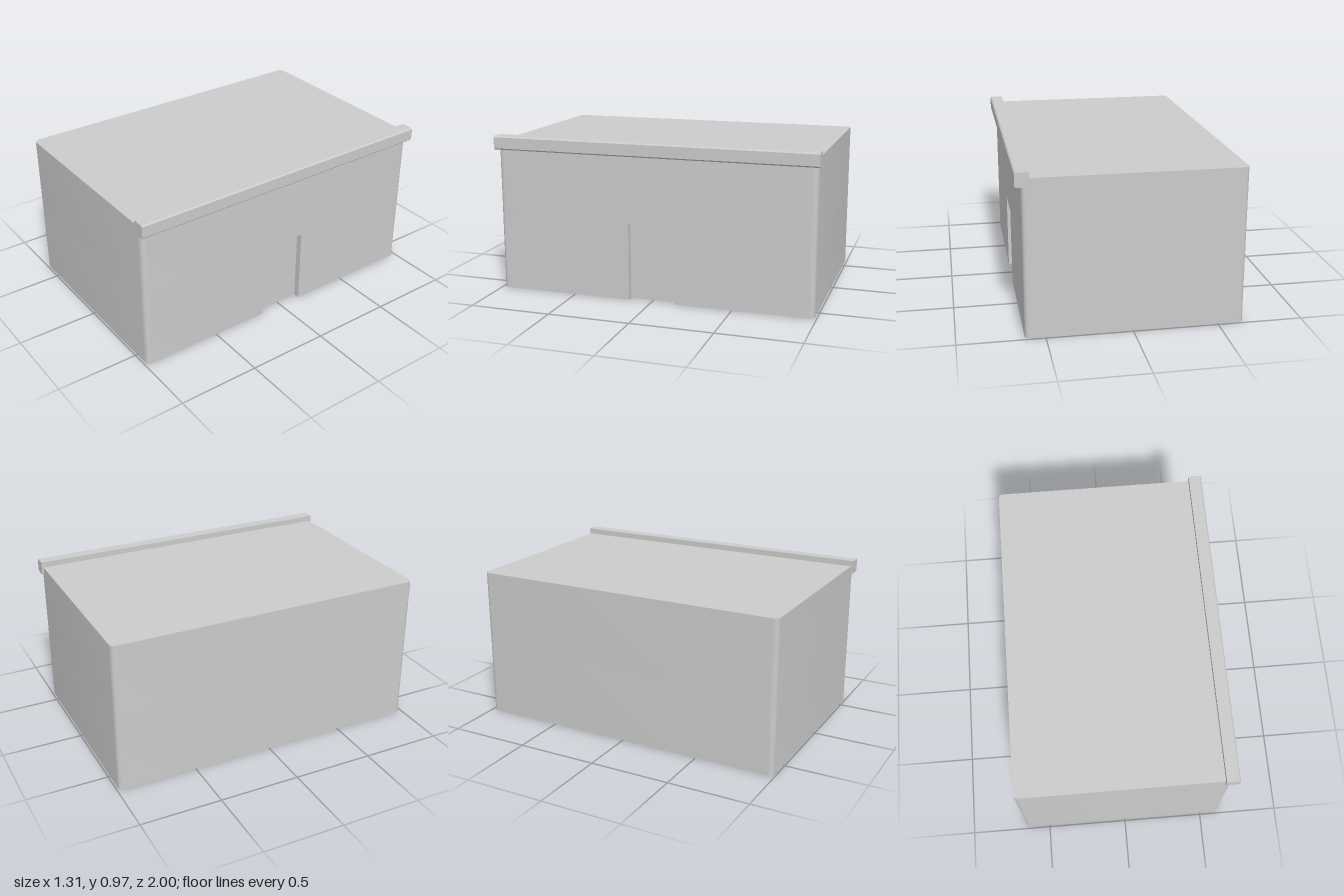
import * as THREE from 'three';
import { toCreasedNormals } from 'three/addons/utils/BufferGeometryUtils.js';

const X0 = -0.653, X1 = 0.617, HALF = 0.988, R = 0.03; // plan of the building
const HEIGHT = 0.935;
const DOOR = { half: 0.144, height: 0.475, depth: 0.038 };
const material = new THREE.MeshStandardMaterial({ color: 0xcccccc });

// Rounded rectangular plan, optionally notched for the doorway on the +x side
function plan(notched) {
  const s = new THREE.Shape();
  s.moveTo(X0 + R, -HALF);
  s.lineTo(X1 - R, -HALF);
  s.absarc(X1 - R, -HALF + R, R, -Math.PI / 2, 0);
  if (notched) {
    s.lineTo(X1, -DOOR.half);
    s.lineTo(X1 - DOOR.depth, -DOOR.half);
    s.lineTo(X1 - DOOR.depth, DOOR.half);
    s.lineTo(X1, DOOR.half);
  }
  s.absarc(X1 - R, HALF - R, R, 0, Math.PI / 2);
  s.absarc(X0 + R, HALF - R, R, Math.PI / 2, Math.PI);
  s.absarc(X0 + R, -HALF + R, R, Math.PI, Math.PI * 1.5);
  s.closePath();
  return s;
}

function extrude(shape, depth) {
  return new THREE.ExtrudeGeometry(shape, { depth, bevelEnabled: false, curveSegments: 6 });
}

function addMesh(group, name, geometry) {
  const mesh = new THREE.Mesh(toCreasedNormals(geometry, 0.5), material);
  mesh.name = name;
  group.add(mesh);
}

export function createModel() {
  const group = new THREE.Group();
  group.name = 'building';

  // Walls up to the door head, with the recessed doorway
  addMesh(group, 'lowerWalls', extrude(plan(true), DOOR.height).rotateX(-Math.PI / 2));

  // Walls above the door head, closed by the flat roof
  addMesh(group, 'upperWallsAndRoof',
    extrude(plan(false), HEIGHT - DOOR.height).rotateX(-Math.PI / 2).translate(0, DOOR.height, 0));

  // Cornice along the door side, with chamfered outer edges
  const [a, b, y0, y1, c] = [0.572, 0.653, 0.887, 0.971, 0.008];
  const profile = new THREE.Shape([
    [a, y0], [b - c, y0], [b, y0 + c], [b, y1 - c], [b - c, y1], [a, y1],
  ].map(([x, y]) => new THREE.Vector2(x, y)));
  addMesh(group, 'cornice', extrude(profile, 2).translate(0, 0, -1));

  return group;
}
